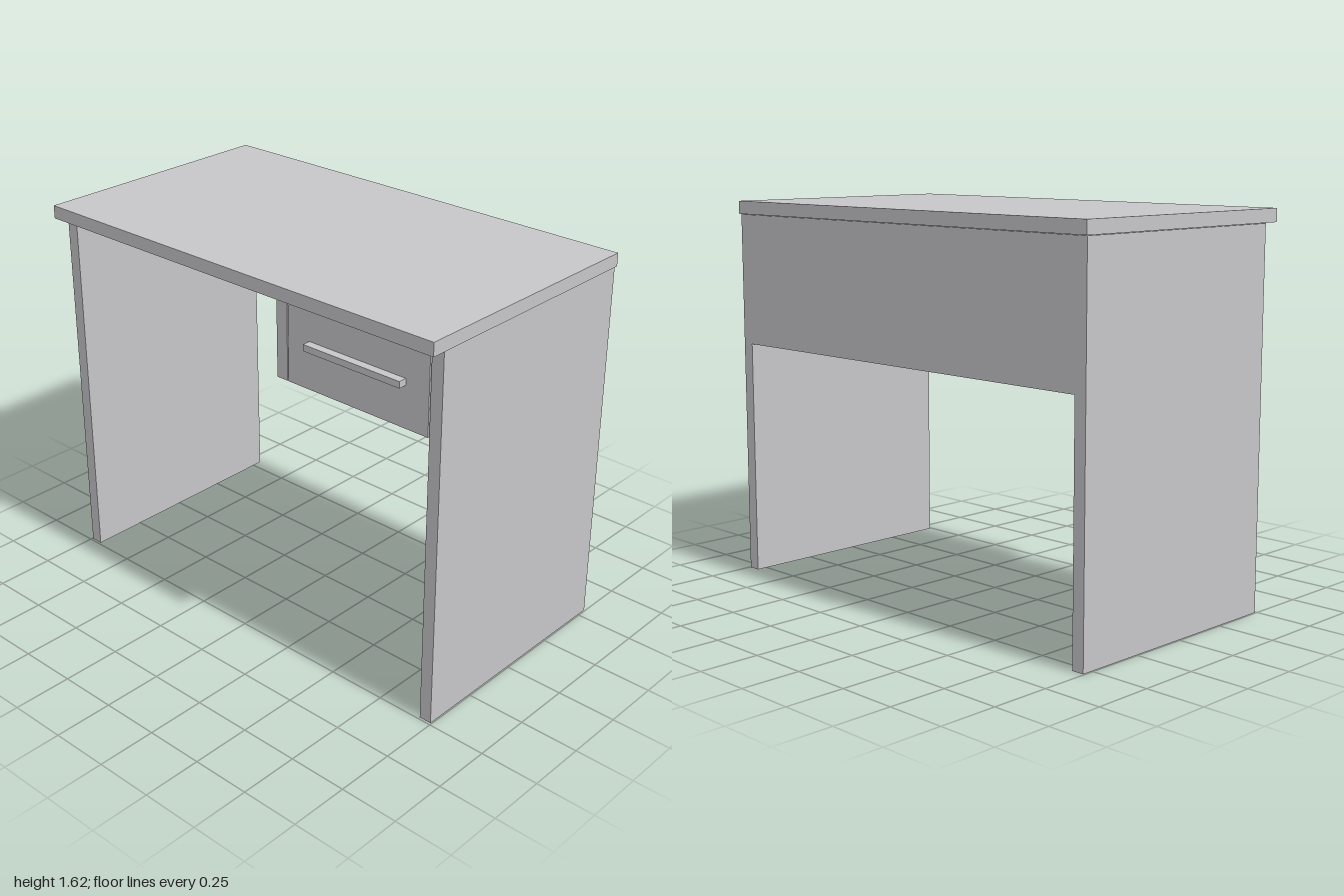
import * as THREE from 'three';

const grey = new THREE.MeshStandardMaterial({ color: 0xc6c5c8 });
grey.name = 'grey board';

// Box given by its extents on each axis
function board(parent, name, [x0, x1], [y0, y1], [z0, z1]) {
  const mesh = new THREE.Mesh(new THREE.BoxGeometry(x1 - x0, y1 - y0, z1 - z0), grey);
  mesh.position.set((x0 + x1) / 2, (y0 + y1) / 2, (z0 + z1) / 2);
  mesh.name = name;
  parent.add(mesh);
}

export function createModel() {
  const desk = new THREE.Group();
  desk.name = 'desk';

  // Top and its supports
  board(desk, 'tabletop', [-1, 1], [1.57, 1.625], [-0.555, 0.555]);
  board(desk, 'leftSidePanel', [0.942, 0.995], [0, 1.568], [-0.547, 0.49]);
  board(desk, 'rightSidePanel', [-0.995, -0.942], [0, 1.568], [-0.547, 0.49]);
  board(desk, 'backPanel', [-0.942, 0.942], [1.01, 1.568], [-0.547, -0.494]);

  // Upright board beside the drawer
  board(desk, 'drawerDivider', [0.204, 0.257], [1.216, 1.568], [-0.494, 0.49]);

  // Drawer with an open box behind its front
  const drawer = new THREE.Group();
  drawer.name = 'drawer';
  desk.add(drawer);
  board(drawer, 'drawerFront', [0.262, 0.936], [1.216, 1.564], [0.44, 0.49]);
  board(drawer, 'drawerBottom', [0.264, 0.934], [1.26, 1.28], [-0.48, 0.44]);
  board(drawer, 'drawerBack', [0.264, 0.934], [1.28, 1.52], [-0.48, -0.45]);
  board(drawer, 'drawerLeftSide', [0.904, 0.934], [1.28, 1.52], [-0.45, 0.44]);
  board(drawer, 'drawerRightSide', [0.264, 0.294], [1.28, 1.52], [-0.45, 0.44]);
  board(drawer, 'handle', [0.37, 0.83], [1.386, 1.413], [0.49, 0.525]);

  return desk;
}
